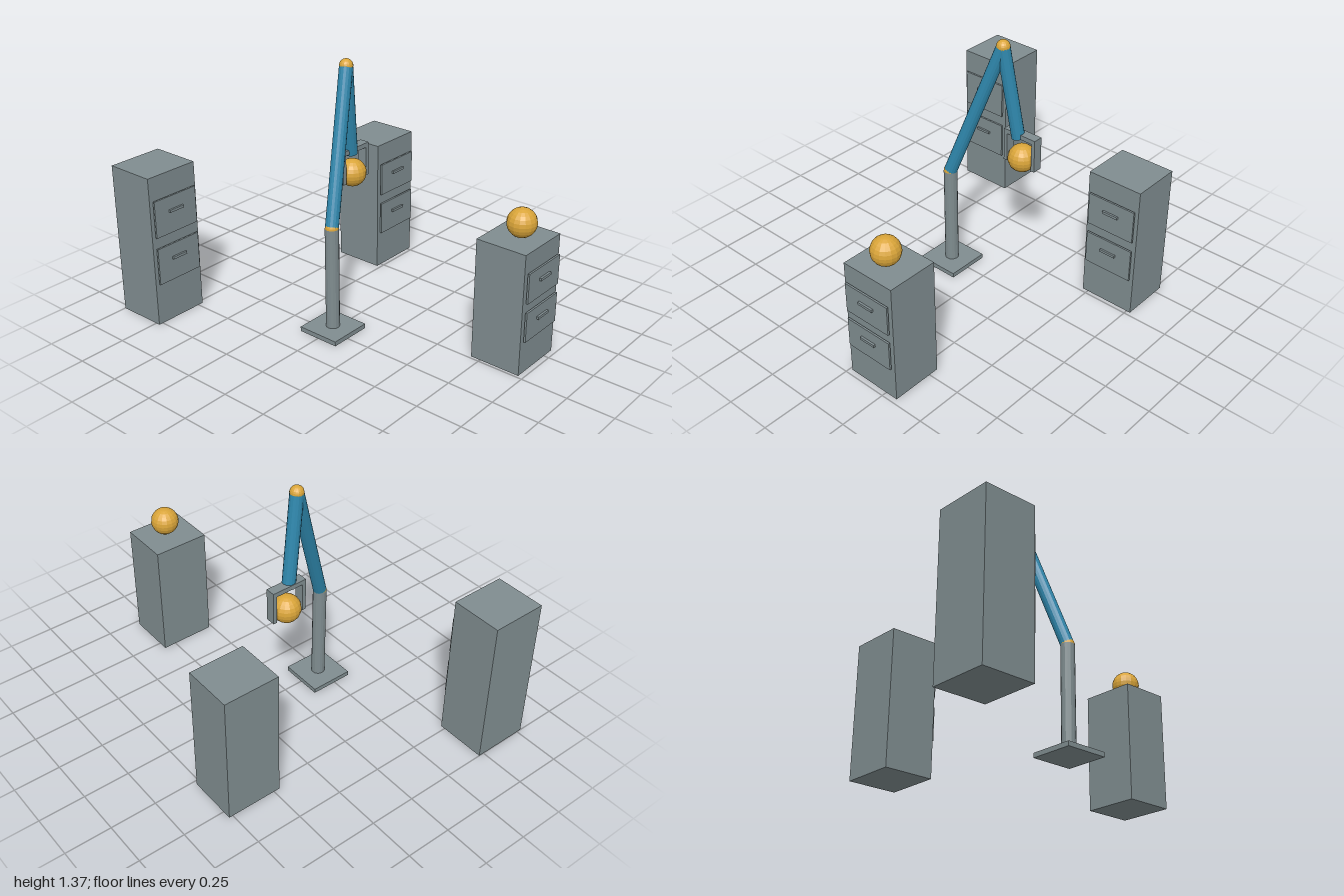
import * as THREE from 'three';

export function createModel() {
  const model = new THREE.Group();
  const paint = (name, color) => {
    const m = new THREE.MeshStandardMaterial({ color, flatShading: true });
    m.name = name;
    return m;
  };
  const grey = paint('steelGrey', 0x7f8c8f);
  const blue = paint('armBlue', 0x2e86ab);
  const gold = paint('gold', 0xdaa539);

  const add = (parent, name, geometry, material, x, y, z) => {
    const mesh = new THREE.Mesh(geometry, material);
    mesh.name = name;
    mesh.position.set(x, y, z);
    parent.add(mesh);
    return mesh;
  };
  const box = (parent, name, w, h, d, x, y, z) =>
    add(parent, name, new THREE.BoxGeometry(w, h, d), grey, x, y, z);
  const ball = (parent, name, r, p) =>
    add(parent, name, new THREE.SphereGeometry(r, 16, 12), gold, p.x, p.y, p.z);

  // Cylinder running between two joints
  const limb = (parent, name, a, b, r, material) => {
    const dir = b.clone().sub(a);
    const mid = a.clone().add(b).multiplyScalar(0.5);
    const mesh = add(parent, name, new THREE.CylinderGeometry(r, r, dir.length(), 16), material, mid.x, mid.y, mid.z);
    mesh.quaternion.setFromUnitVectors(new THREE.Vector3(0, 1, 0), dir.normalize());
  };

  // Cabinets: body with two floating drawer fronts and handles
  const cabinet = (name, x, front, height) => {
    const g = new THREE.Group();
    g.name = name;
    g.position.set(x, 0, front);
    box(g, 'cabinetBody', 0.304, height, 0.275, 0, height / 2, -0.1375);
    for (const level of [0.405, 0.725]) {
      const y = height * level;
      box(g, 'drawerFront', 0.271, height * 0.245, 0.01, 0, y, 0.012);
      box(g, 'drawerHandle', 0.09, 0.014, 0.012, 0, y + height * 0.027, 0.022);
    }
    model.add(g);
  };
  cabinet('tallCabinet', -0.622, -0.725, 0.825);
  cabinet('middleCabinet', 0.619, -0.272, 0.737);
  cabinet('shortCabinet', 0.167, 0.972, 0.65);
  ball(model, 'restingBall', 0.075, new THREE.Vector3(0.167, 0.727, 0.849));

  // Robot arm
  const robot = new THREE.Group();
  robot.name = 'robotArm';
  model.add(robot);
  const foot = new THREE.Vector3(-0.229, 0.025, 0);
  const shoulder = new THREE.Vector3(-0.229, 0.58, 0);
  const elbow = new THREE.Vector3(0.024, 1.338, -0.118);
  const wrist = new THREE.Vector3(0.1, 0.843, -0.153);
  box(robot, 'basePlate', 0.236, 0.025, 0.236, foot.x, 0.0125, 0);
  limb(robot, 'post', foot, shoulder, 0.036, grey);
  limb(robot, 'upperArm', shoulder, elbow, 0.035, blue);
  limb(robot, 'forearm', elbow, wrist, 0.035, blue);
  ball(robot, 'shoulderJoint', 0.036, shoulder);
  ball(robot, 'elbowJoint', 0.036, elbow);

  // Gripper with the ball it holds
  const gripper = new THREE.Group();
  gripper.name = 'gripper';
  gripper.position.set(0.12, 0, -0.162);
  robot.add(gripper);
  box(gripper, 'gripperBar', 0.2, 0.025, 0.053, 0, 0.86, 0);
  for (const side of [-1, 1]) {
    box(gripper, 'gripperFinger', 0.021, 0.158, 0.053, side * 0.0895, 0.769, 0);
  }
  ball(gripper, 'heldBall', 0.075, new THREE.Vector3(0, 0.727, 0));

  return model;
}
